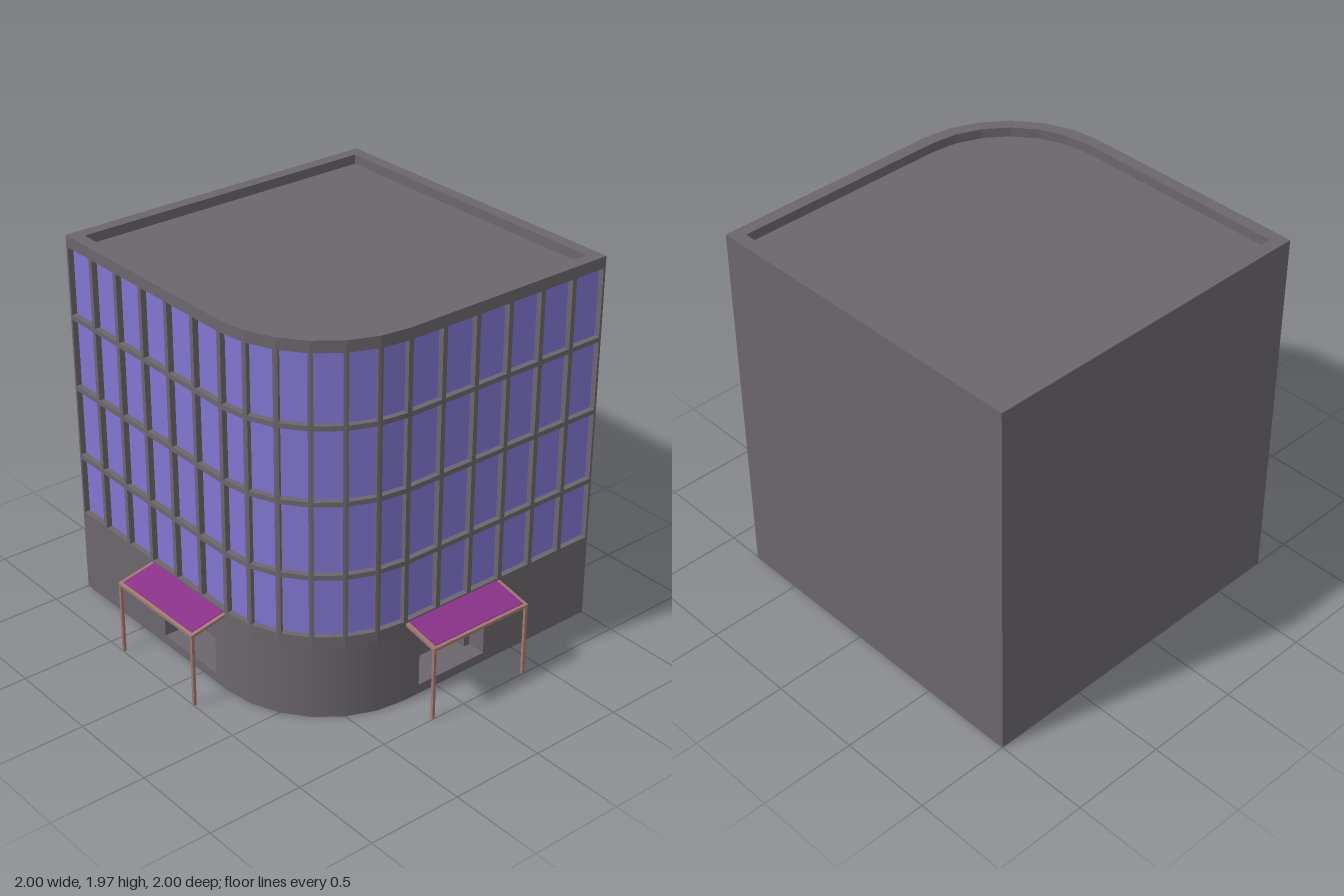
import * as THREE from 'three';

const concrete = new THREE.MeshStandardMaterial({ name: 'concrete', color: 0x6b666d });
const glass = new THREE.MeshStandardMaterial({ name: 'glass', color: 0x8276d2 });
const cloth = new THREE.MeshStandardMaterial({ name: 'awningCloth', color: 0x8a3289 });
const timber = new THREE.MeshStandardMaterial({ name: 'awningFrame', color: 0xa07870 });

const WALL = 0.8, BACK = -1, CENTRE = 0.2, RADIUS = 0.6, ARC_STEPS = 6;
const DOOR = -0.1; // middle of each doorway along its wall

function mesh(parent, name, geometry, material) {
  const m = new THREE.Mesh(geometry, material);
  m.name = name;
  parent.add(m);
  return m;
}

// Points [x, z] of the rounded corner, from the front wall to the right wall
function cornerPoints(r) {
  return Array.from({ length: ARC_STEPS + 1 }, (_, i) => {
    const a = (i / ARC_STEPS) * Math.PI / 2;
    return [CENTRE + r * Math.sin(a), CENTRE + r * Math.cos(a)];
  });
}

// Floor plan; steps are [half width, depth] pairs of the door recesses
function plan(inset = 0, backInset = 0, steps = []) {
  const w = WALL - inset, b = BACK + backInset;
  const half = [];
  let depth = 0;
  for (const [h, d] of steps) {
    half.push([-h, depth], [-h, d]);
    depth = d;
  }
  const notch = [...half, ...half.map(([t, d]) => [-t, d]).reverse()];
  return [
    [b, b], [b, w],
    ...notch.map(([t, d]) => [DOOR + t, w - d]),
    ...cornerPoints(RADIUS - inset),
    ...notch.map(([t, d]) => [w - d, DOOR - t]),
    [w, b],
  ].map(([x, z]) => new THREE.Vector2(x, -z));
}

// Slab of the building between two heights
function layer(parent, name, y0, y1, outline, { hole = null, smooth = false } = {}) {
  const shape = new THREE.Shape(outline);
  if (hole) shape.holes.push(new THREE.Path(hole));
  const g = new THREE.ExtrudeGeometry(shape, { depth: y1 - y0, bevelEnabled: false });
  g.rotateX(-Math.PI / 2).translate(0, y0, 0);
  if (smooth) { // round the shading of the curved corner
    const p = g.attributes.position, n = g.attributes.normal;
    for (let i = 0; i < p.count; i++) {
      const dx = p.getX(i) - CENTRE, dz = p.getZ(i) - CENTRE;
      const onArc = dx > -1e-4 && dz > -1e-4 && Math.abs(Math.hypot(dx, dz) - RADIUS) < 1e-3;
      if (onArc && Math.abs(n.getY(i)) < 0.5) n.setXYZ(i, dx / RADIUS, 0, dz / RADIUS);
    }
  }
  return mesh(parent, name, g, concrete);
}

// One window bay between two plan points, with glass and half a mullion at each end
function windowBay(parent, [x0, z0], [x1, z1], floors) {
  const bay = new THREE.Group();
  bay.name = 'windowBay';
  const len = Math.hypot(x1 - x0, z1 - z0), half = 0.0125, recess = 0.03;
  bay.position.set((x0 + x1) / 2, 0, (z0 + z1) / 2);
  bay.rotation.y = Math.atan2(z0 - z1, x1 - x0);
  for (const [y0, y1] of floors) {
    const pane = mesh(bay, 'windowPane', new THREE.PlaneGeometry(len - half, y1 - y0), glass);
    pane.position.set(0, (y0 + y1) / 2, -recess);
    for (const s of [-1, 1]) {
      const m = mesh(bay, 'mullion', new THREE.BoxGeometry(half, y1 - y0, recess + 0.005), concrete);
      m.position.set(s * (len - half) / 2, (y0 + y1) / 2, -(recess + 0.005) / 2);
    }
  }
  parent.add(bay);
}

// Box that slopes down away from the wall
function slopedBox(w, h, d, y) {
  const g = new THREE.BoxGeometry(w, h, d).translate(0, y, d / 2);
  const p = g.attributes.position;
  for (let i = 0; i < p.count; i++) p.setY(i, p.getY(i) - 0.2 * p.getZ(i));
  g.computeVertexNormals();
  return g;
}

function awning(name) {
  const g = new THREE.Group();
  g.name = name;
  mesh(g, 'awningFrame', slopedBox(0.6, 0.015, 0.2, 0.43), timber);
  mesh(g, 'awningCloth', slopedBox(0.56, 0.006, 0.185, 0.4385), cloth);
  for (const s of [-1, 1]) {
    const post = mesh(g, 'awningPost', new THREE.BoxGeometry(0.015, 0.388, 0.015), timber);
    post.position.set(s * 0.2925, 0.194, 0.1925);
  }
  return g;
}

export function createModel() {
  const model = new THREE.Group();
  model.name = 'cornerBuilding';

  // Ground floor with stepped door recesses
  const outer = [0.21, 0.1], inner = [0.175, 0.18];
  layer(model, 'plinth', 0, 0.05, plan(), { smooth: true });
  layer(model, 'doorwayWall', 0.05, 0.305, plan(0, 0, [outer, inner]), { smooth: true });
  layer(model, 'doorwayHead', 0.305, 0.345, plan(0, 0, [outer]), { smooth: true });
  layer(model, 'groundFloorTop', 0.345, 0.39, plan(), { smooth: true });
  layer(model, 'sillBand', 0.39, 0.45, plan());

  // Upper floors: recessed core, floor bands and roof
  const floors = [[0.45, 0.76], [0.785, 1.145], [1.17, 1.53], [1.555, 1.91]];
  layer(model, 'core', 0.45, 1.91, plan(0.035));
  for (let i = 1; i < floors.length; i++) {
    layer(model, 'floorBand', floors[i - 1][1], floors[i][0], plan());
  }
  layer(model, 'roof', 1.91, 1.92, plan());
  layer(model, 'parapet', 1.92, 1.97, plan(), { hole: plan(0.065, 0.065) });

  // Window bays along the front, round the corner and along the right
  const straight = Array.from({ length: 6 }, (_, i) => BACK + i * 0.2);
  const bays = [
    ...straight.map((x) => [x, WALL]),
    ...cornerPoints(RADIUS),
    ...straight.map((z) => [WALL, z]).reverse(),
  ];
  for (let i = 1; i < bays.length; i++) windowBay(model, bays[i - 1], bays[i], floors);

  // Awnings over both doors
  const front = awning('frontAwning');
  front.position.set(DOOR, 0, WALL);
  const side = awning('sideAwning');
  side.position.set(WALL, 0, DOOR);
  side.rotation.y = Math.PI / 2;
  model.add(front, side);

  return model;
}
